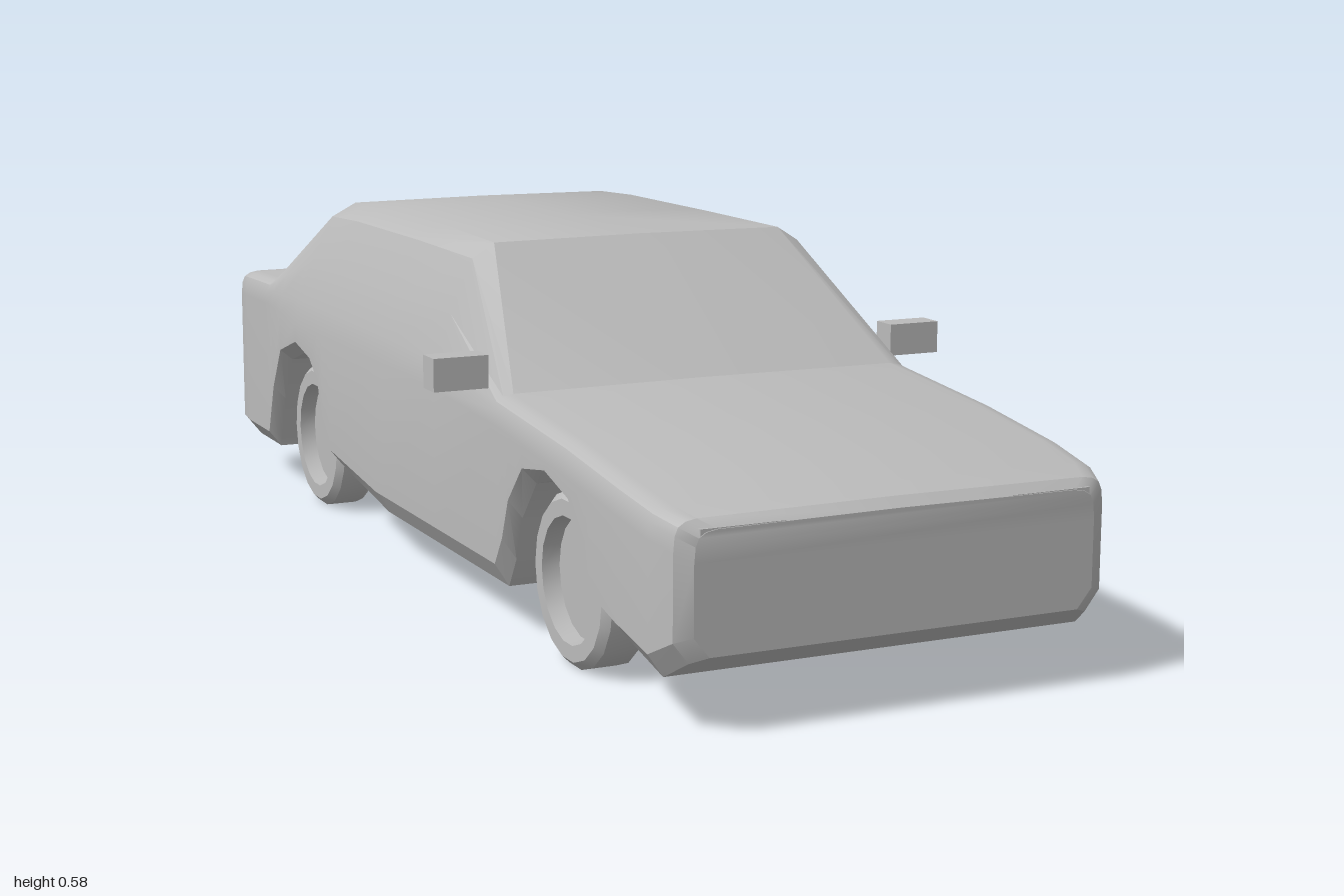
import * as THREE from 'three';
import { toCreasedNormals } from 'three/addons/utils/BufferGeometryUtils.js';

// Linear interpolation in rows [z, value, value...], sorted from front to back
function sample(rows, z) {
  for (let i = 0; i < rows.length - 1; i++) {
    const a = rows[i], b = rows[i + 1];
    if (z <= a[0] && z >= b[0]) {
      const t = (a[0] - z) / (a[0] - b[0]);
      return a.slice(1).map((v, k) => v + (b[k + 1] - v) * t);
    }
  }
  return rows[rows.length - 1].slice(1);
}

// Underside: z, height, height of the bevel above it (wheel arches included)
const underside = [
  [1, 0.118, 0.03], [0.94, 0.08, 0.035], [0.76, 0.135, 0.025], [0.745, 0.2, 0.02],
  [0.69, 0.262, 0.018], [0.605, 0.288, 0.016], [0.52, 0.265, 0.025], [0.465, 0.2, 0.03],
  [0.44, 0.13, 0.035], [0.41, 0.08, 0.038], [-0.14, 0.08, 0.038], [-0.39, 0.115, 0.03],
  [-0.43, 0.155, 0.03], [-0.455, 0.235, 0.025], [-0.5, 0.275, 0.022], [-0.585, 0.295, 0.02],
  [-0.68, 0.265, 0.02], [-0.73, 0.18, 0.025], [-0.765, 0.08, 0.03], [-0.97, 0.08, 0.03], [-1, 0.125, 0.03],
];

// Upper half-sections: x, y pairs from the flank up to the centre line
const flat = (z, w, t) => [z, w, t - 0.045, w - 0.002, t - 0.022, w - 0.007, t - 0.01, w - 0.018, t - 0.003, w - 0.035, t, 0, t + 0.002];
const cabin = (z, t, wr = 0.252) => [z, 0.368, 0.35, 0.358, 0.395, 0.337, 0.47, 0.298, t - 0.026, wr, t - 0.002, 0, t];
const upper = [
  flat(1, 0.32, 0.295), flat(0.985, 0.344, 0.309), flat(0.94, 0.36, 0.32), flat(0.85, 0.367, 0.335),
  flat(0.67, 0.368, 0.358), flat(0.405, 0.368, 0.381),
  cabin(0.15, 0.583, 0.26), cabin(-0.1, 0.585), cabin(-0.42, 0.583), cabin(-0.56, 0.577),
  flat(-0.76, 0.368, 0.41), flat(-0.9, 0.368, 0.407), flat(-0.955, 0.361, 0.402),
  flat(-0.985, 0.35, 0.388), flat(-1, 0.33, 0.365),
];

function halfSection(z) {
  const [y, bevel] = sample(underside, z);
  const u = sample(upper, z);
  const pts = [[0, y], [u[0] - 0.024, y], [u[0], y + bevel]];
  for (let i = 0; i < u.length; i += 2) pts.push([u[i], u[i + 1]]);
  return pts.map(([px, py]) => new THREE.Vector3(px, py, z));
}

function bodyGeometry() {
  const zs = [...new Set([...underside, ...upper].map((r) => r[0]))].sort((a, b) => b - a);
  const halves = zs.map(halfSection);
  const mirror = (p) => new THREE.Vector3(-p.x, p.y, p.z);
  const pos = [];
  const quad = (a, b, c, d) => [a, b, c, a, c, d].forEach((p) => pos.push(p.x, p.y, p.z));
  // Skin between neighbouring sections, both sides
  for (let s = 0; s < halves.length - 1; s++) {
    const f = halves[s], r = halves[s + 1];
    for (let i = 0; i < f.length - 1; i++) {
      quad(f[i], r[i], r[i + 1], f[i + 1]);
      quad(mirror(f[i + 1]), mirror(r[i + 1]), mirror(r[i]), mirror(f[i]));
    }
  }
  // Nose and tail faces
  const nose = halves[0], tail = halves[halves.length - 1];
  for (let i = 1; i < nose.length - 1; i++) {
    quad(mirror(nose[i]), nose[i], nose[i + 1], mirror(nose[i + 1]));
    quad(tail[i], mirror(tail[i]), mirror(tail[i + 1]), tail[i + 1]);
  }
  const g = new THREE.BufferGeometry();
  g.setAttribute('position', new THREE.Float32BufferAttribute(pos, 3));
  return toCreasedNormals(g, 0.5);
}

// Wheel turned around its axle, with a recessed outer disc
function wheelGeometry() {
  const profile = [[0, -0.04], [0.122, -0.04], [0.134, -0.028], [0.134, 0.028], [0.122, 0.04], [0.097, 0.04], [0.094, 0.012], [0, 0.012]];
  const g = new THREE.LatheGeometry(profile.map(([r, h]) => new THREE.Vector2(r, h)), 18);
  g.rotateZ(-Math.PI / 2);
  return toCreasedNormals(g, 0.6);
}

export function createModel() {
  const car = new THREE.Group();
  car.name = 'car';
  const grey = new THREE.MeshStandardMaterial({ color: 0xbbbbbb });
  grey.name = 'grey';
  const add = (name, geometry, x = 0, y = 0, z = 0) => {
    const m = new THREE.Mesh(geometry, grey);
    m.name = name;
    m.position.set(x, y, z);
    car.add(m);
    return m;
  };

  add('body', bodyGeometry());

  const wheel = wheelGeometry();
  const mirrorBox = new THREE.BoxGeometry(0.09, 0.052, 0.045);
  const brow = new THREE.BoxGeometry(0.13, 0.014, 0.009);
  for (const [side, s] of [['left', 1], ['right', -1]]) {
    // Wheels
    for (const [end, z] of [['Front', 0.605], ['Rear', -0.583]]) {
      add(`${side}${end}Wheel`, wheel, s * 0.291, 0.134, z).rotation.y = s > 0 ? 0 : Math.PI;
    }
    // Door mirrors and headlight brows
    add(`${side}Mirror`, mirrorBox, s * 0.403, 0.411, 0.343);
    add(`${side}HeadlightBrow`, brow, s * 0.246, 0.29, 0.995);
  }
  return car;
}
